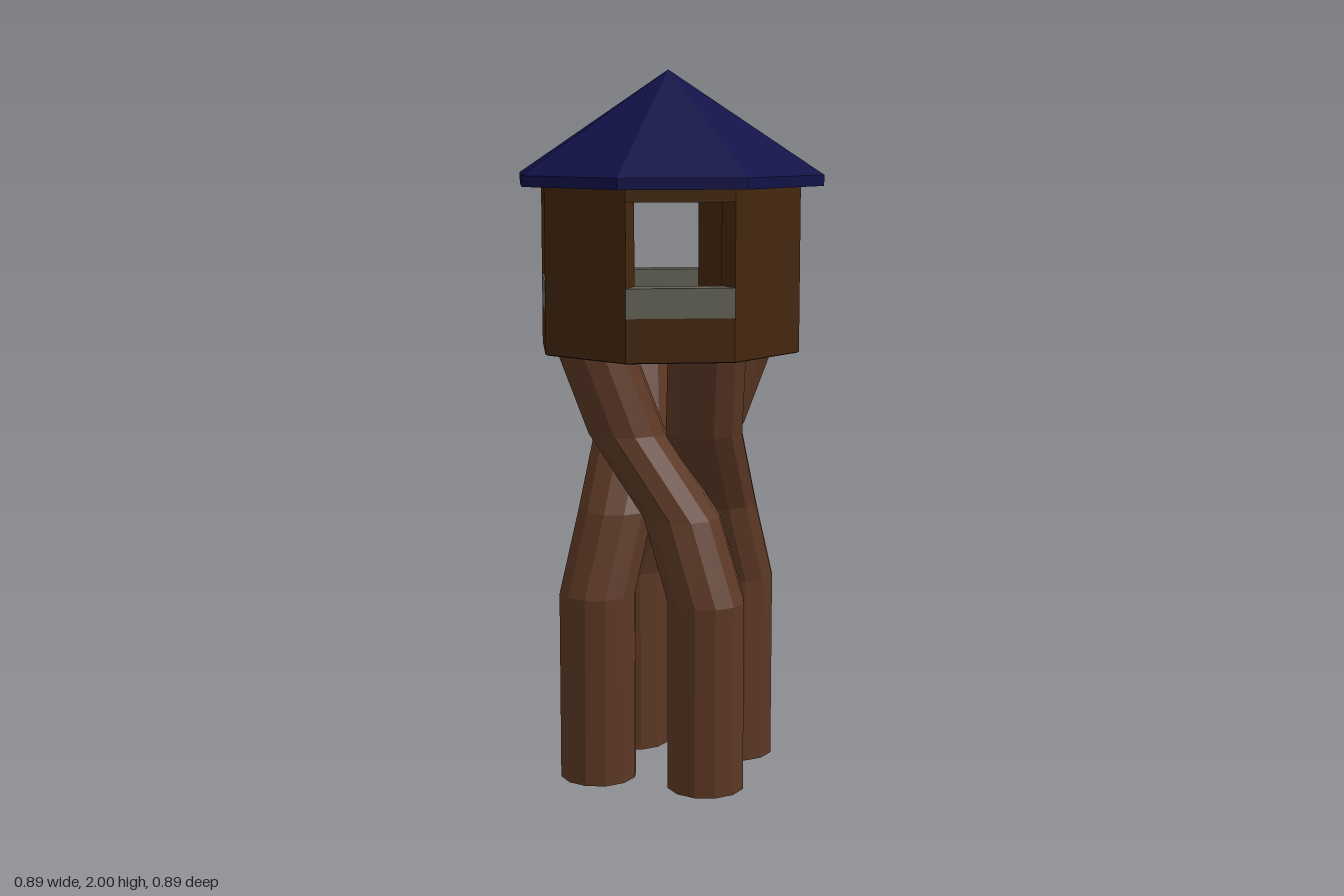
import * as THREE from 'three';

const mat = (name, color, extra = {}) =>
  Object.assign(new THREE.MeshStandardMaterial({ color, flatShading: true, ...extra }), { name });

export function createModel() {
  const log = mat('log brown', 0x5c3825);
  const plank = mat('plank brown', 0x43270f);
  const roofBlue = mat('roof blue', 0x111148, { side: THREE.DoubleSide });
  const sillGrey = mat('sill grey', 0x626256);
  const black = mat('floor black', 0x0e0e0e);

  const model = new THREE.Group();
  model.name = 'watchtower';
  const add = (name, geometry, material, y = 0, parent = model) => {
    const mesh = new THREE.Mesh(geometry, material);
    mesh.name = name;
    mesh.position.y = y;
    parent.add(mesh);
    return mesh;
  };

  // Twisted legs: one log bent along a path with level rings, repeated four times
  const path = [
    [0.16, 0, 0.16], [0.16, 0.54, 0.16], [0.08, 0.77, 0.13],
    [-0.08, 1.0, 0.13], [-0.16, 1.23, 0.16],
  ];
  const legGeo = new THREE.CylinderGeometry(0.11, 0.11, 1, 12, path.length - 1);
  const p = legGeo.attributes.position;
  for (let i = 0; i < p.count; i++) {
    const [x, y, z] = path[Math.round((p.getY(i) + 0.5) * (path.length - 1))];
    p.setXYZ(i, p.getX(i) + x, y, p.getZ(i) + z);
  }
  legGeo.computeVertexNormals();
  for (let k = 0; k < 4; k++) add('leg', legGeo, log).rotation.y = k * Math.PI / 2;

  // Floor slab
  add('floor', new THREE.CylinderGeometry(0.376, 0.376, 0.115, 8), black, 1.2825);

  // Wall piece: one side of an octagonal ring, between two heights
  const outer = 0.38, inner = 0.305, c = Math.SQRT1_2;
  const side = new THREE.Shape([
    new THREE.Vector2(0, -outer), new THREE.Vector2(outer * c, -outer * c),
    new THREE.Vector2(inner * c, -inner * c), new THREE.Vector2(0, -inner),
  ]);
  const wallPiece = (name, y0, y1, material, parent) => {
    const geo = new THREE.ExtrudeGeometry(side, { depth: y1 - y0, bevelEnabled: false });
    geo.rotateX(-Math.PI / 2);
    add(name, geo, material, y0, parent);
  };

  // Cabin: open window sides alternate with solid sides
  for (let k = 0; k < 8; k++) {
    const wall = new THREE.Group();
    wall.name = k % 2 ? 'solidWall' : 'windowWall';
    wall.rotation.y = k * Math.PI / 4;
    model.add(wall);
    if (k % 2) {
      wallPiece('panel', 1.227, 1.7, plank, wall);
    } else {
      wallPiece('lowerPanel', 1.227, 1.345, plank, wall);
      wallPiece('windowSill', 1.345, 1.425, sillGrey, wall);
      wallPiece('lintel', 1.65, 1.7, plank, wall);
    }
  }

  // Hollow roof with a short upright eave
  add('roof', new THREE.ConeGeometry(0.445, 0.285, 8, 1, true), roofBlue, 1.8575);
  add('eave', new THREE.CylinderGeometry(0.445, 0.445, 0.03, 8, 1, true), roofBlue, 1.7);
  return model;
}
